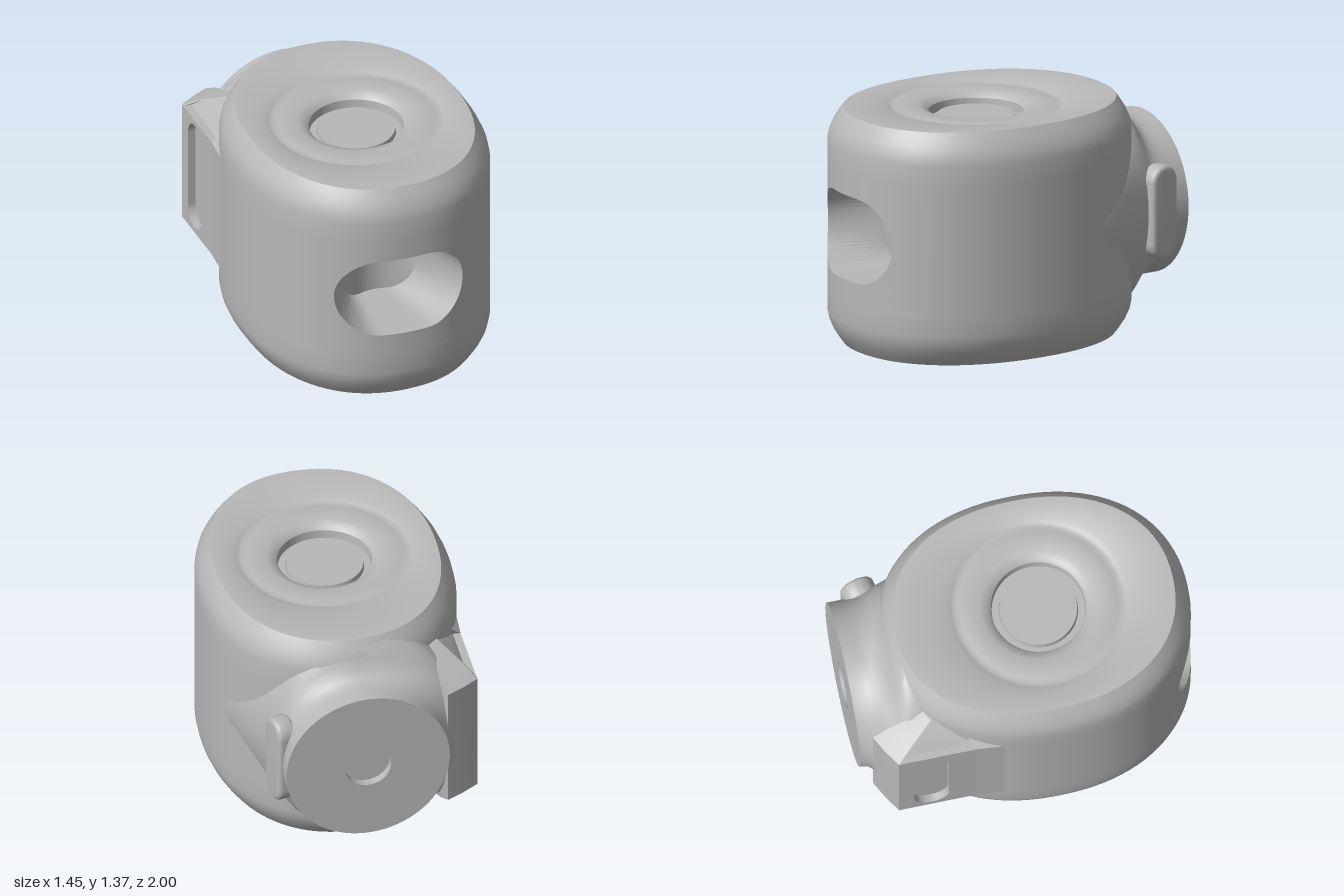
import * as THREE from 'three';
import { toCreasedNormals } from 'three/addons/utils/BufferGeometryUtils.js';

const MID = 0.685, TOP = 1.365, SEG = 96;
const A = 0.725, B = 0.89, CZ = 0.11, N = 2.2; // egg-shaped plan of the housing
const V = (x, y, z) => new THREE.Vector3(x, y, z);
const spow = (v, p) => Math.sign(v) * Math.pow(Math.abs(v), p);
const frontZ = x => CZ + B * Math.pow(1 - Math.pow(Math.abs(x) / A, N), 1 / N);

// Skin closed rings of equal length; skip(j, i) leaves a quad out
function loft(rings, crease = 0.6, skip = () => false) {
  const n = rings[0].length, index = [];
  for (let j = 0; j < rings.length - 1; j++) {
    for (let i = 0; i < n; i++) {
      if (skip(j, i)) continue;
      const a = j * n + i, b = j * n + (i + 1) % n;
      index.push(a, b, a + n, b, b + n, a + n);
    }
  }
  const g = new THREE.BufferGeometry().setFromPoints(rings.flat());
  g.setIndex(index);
  return toCreasedNormals(g, crease);
}

function stadium(Type, cx, cy, hw, hh) {
  const s = new Type();
  s.absarc(cx, cy + hh - hw, hw, 0, Math.PI, false);
  s.absarc(cx, cy - hh + hw, hw, Math.PI, Math.PI * 2, false);
  s.closePath();
  return s;
}

const around = f => Array.from({ length: SEG }, (_, i) => f(i / SEG * Math.PI * 2));
const eggRing = (inset, y) => around(t => V(
  (A - inset) * spow(Math.cos(t), 2 / N), y, CZ + (B - inset) * spow(Math.sin(t), 2 / N)));
const roundRing = (r, y) => around(t => V(r * Math.cos(t), y, 0.135 + r * Math.sin(t)));

// Housing: dished end faces, rounded rims, straight wall with the window patch left out
const I0 = 13, I1 = 35, Y0 = 0.3, Y1 = 1.06;
function housingGeometry() {
  const dish = [[0, 0.07], [0.22, 0.07], [0.225, 0.1], [0.265, 0.1], [0.27, 0.05], [0.29, 0.03],
    [0.33, 0.015], [0.45, 0.015], [0.475, 0.022], [0.5, 0.015], [0.53, 0]];
  const rim = [[0.085, 0], [0.06, 0.035], [0.032, 0.08], [0.01, 0.13], [0, 0.18]];
  const end = yAt => [
    ...dish.map(([r, d]) => roundRing(r, yAt(d))),
    ...rim.map(([inset, d]) => eggRing(inset, yAt(d)))];
  const upper = end(d => TOP - d), lower = end(d => d).reverse();
  const rings = [...upper, eggRing(0, Y1), eggRing(0, Y0), ...lower];
  return loft(rings, 0.6, (j, i) => j === upper.length && i >= I0 && i < I1);
}

// Front wall around the stadium window, continuing into the hollow behind it
function windowGeometry() {
  const cx = -0.055, r = 0.2475, straight = 0.1325, n = 20;
  const edge = i => A * spow(Math.cos(i / SEG * Math.PI * 2), 2 / N);
  const xR = edge(I0), xL = edge(I1), outer = [];
  const corners = [[xR, Y0], [xR, Y1], [xL, Y1], [xL, Y0]];
  corners.forEach(([x, y], k) => {
    const [x2, y2] = corners[(k + 1) % 4];
    for (let i = 0; i < n; i++) outer.push([x + (x2 - x) * i / n, y + (y2 - y) * i / n]);
  });
  const inner = outer.map(([x, y]) => {
    const s = cx + Math.max(-straight, Math.min(straight, x - cx));
    const d = Math.hypot(x - s, y - MID);
    return [s + r * (x - s) / d, MID + r * (y - MID) / d];
  });
  const rings = [];
  for (let k = 0; k <= 6; k++) {
    rings.push(outer.map(([x, y], i) => {
      const px = x + (inner[i][0] - x) * k / 6, py = y + (inner[i][1] - y) * k / 6;
      return V(px, py, frontZ(px));
    }));
  }
  // concave back wall of the hollow
  for (const [sx, sy] of [[0.6, 1], [0.45, 0.75], [0.3, 0.5], [0.15, 0.25], [0, 0]]) {
    rings.push(inner.map(([x, y]) => {
      const dx = (x - cx) * sx;
      return V(cx + dx, MID + (y - MID) * sy, 0.5 + 2.2 * dx * dx);
    }));
  }
  return loft(rings, 0.5);
}

// Neck: recessed round end flaring forward into the housing
function neckGeometry() {
  // z, right half width, left half width, half height, roundness
  const sections = [
    [-0.95, 0, 0, 0, 2], [-0.95, 0.135, 0.135, 0.135, 2], [-1, 0.135, 0.135, 0.135, 2],
    [-1, 0.475, 0.475, 0.475, 2], [-0.95, 0.475, 0.485, 0.475, 2], [-0.9, 0.475, 0.53, 0.475, 2.1],
    [-0.86, 0.477, 0.59, 0.48, 2.3], [-0.82, 0.48, 0.628, 0.497, 2.5], [-0.79, 0.483, 0.63, 0.525, 2.5],
    [-0.76, 0.488, 0.63, 0.575, 2.4], [-0.73, 0.494, 0.63, 0.63, 2.3], [-0.7, 0.502, 0.63, 0.665, 2.2],
    [-0.65, 0.52, 0.63, 0.67, 2.2], [-0.57, 0.552, 0.63, 0.66, 2.2], [-0.46, 0.605, 0.63, 0.62, 2.2],
    [-0.33, 0.658, 0.63, 0.56, 2.2], [-0.2, 0.68, 0.63, 0.5, 2.2]];
  return loft(sections.map(([z, wr, wl, h, n]) => around(t => {
    const c = Math.cos(t), e = c < 0 ? 2 / n : 1;
    return V((c < 0 ? wl : wr) * spow(c, e), MID + h * spow(Math.sin(t), e), z);
  })), 0.6);
}

// Shoulder: flat-sided block beside the neck, tapering into the housing above and below
function shoulderGeometry() {
  const plan = [[-0.4, 0.05], [-0.71, 0.05], [-0.675, -0.38], [-0.63, -0.38], [-0.63, -0.8],
    [-0.675, -0.8], [-0.675, -0.82], [-0.58, -0.88], [-0.48, -0.93], [-0.4, -0.6]];
  const levels = [[1.2, 0], [1.2, 0.3], [1.12, 0.75], [1.06, 1], [0.31, 1], [0.25, 0.75], [0.17, 0.3], [0.17, 0]];
  return loft(levels.map(([y, s]) =>
    plan.map(([x, z]) => V(-0.42 + (x + 0.42) * s, y, -0.5 + (z + 0.5) * s))), 0.4);
}

// Side plate with a tall slot
function slotPlateGeometry() {
  const s = new THREE.Shape();
  s.moveTo(-0.8, 0.31).lineTo(-0.38, 0.31).lineTo(-0.38, 1.06).lineTo(-0.8, 1.06).closePath();
  s.holes.push(stadium(THREE.Path, -0.63, MID, 0.1, 0.34));
  return new THREE.ExtrudeGeometry(s, { depth: 0.045, bevelEnabled: false, curveSegments: 16 })
    .rotateY(-Math.PI / 2).translate(-0.63, 0, 0);
}

export function createModel() {
  const grey = new THREE.MeshStandardMaterial({ color: 0xb8b8b8, side: THREE.DoubleSide });
  grey.name = 'plain grey';
  const model = new THREE.Group();
  model.name = 'housing assembly';
  const add = (name, geometry) => {
    const m = new THREE.Mesh(geometry, grey);
    m.name = name;
    model.add(m);
    return m;
  };
  add('housing', housingGeometry());
  add('frontWindow', windowGeometry());
  add('neck', neckGeometry());
  add('shoulder', shoulderGeometry());
  add('slotPlate', slotPlateGeometry());

  // Rounded upright tab, turned slightly towards the back
  const tab = add('sideTab', toCreasedNormals(new THREE.ExtrudeGeometry(
    stadium(THREE.Shape, 0, 0, 0.075, 0.25),
    { depth: 0.06, bevelSize: 0.025, bevelThickness: 0.025, bevelSegments: 4, curveSegments: 16 }), 0.6));
  tab.rotation.y = THREE.MathUtils.degToRad(102);
  tab.position.set(0.435, MID, -0.8);
  return model;
}
